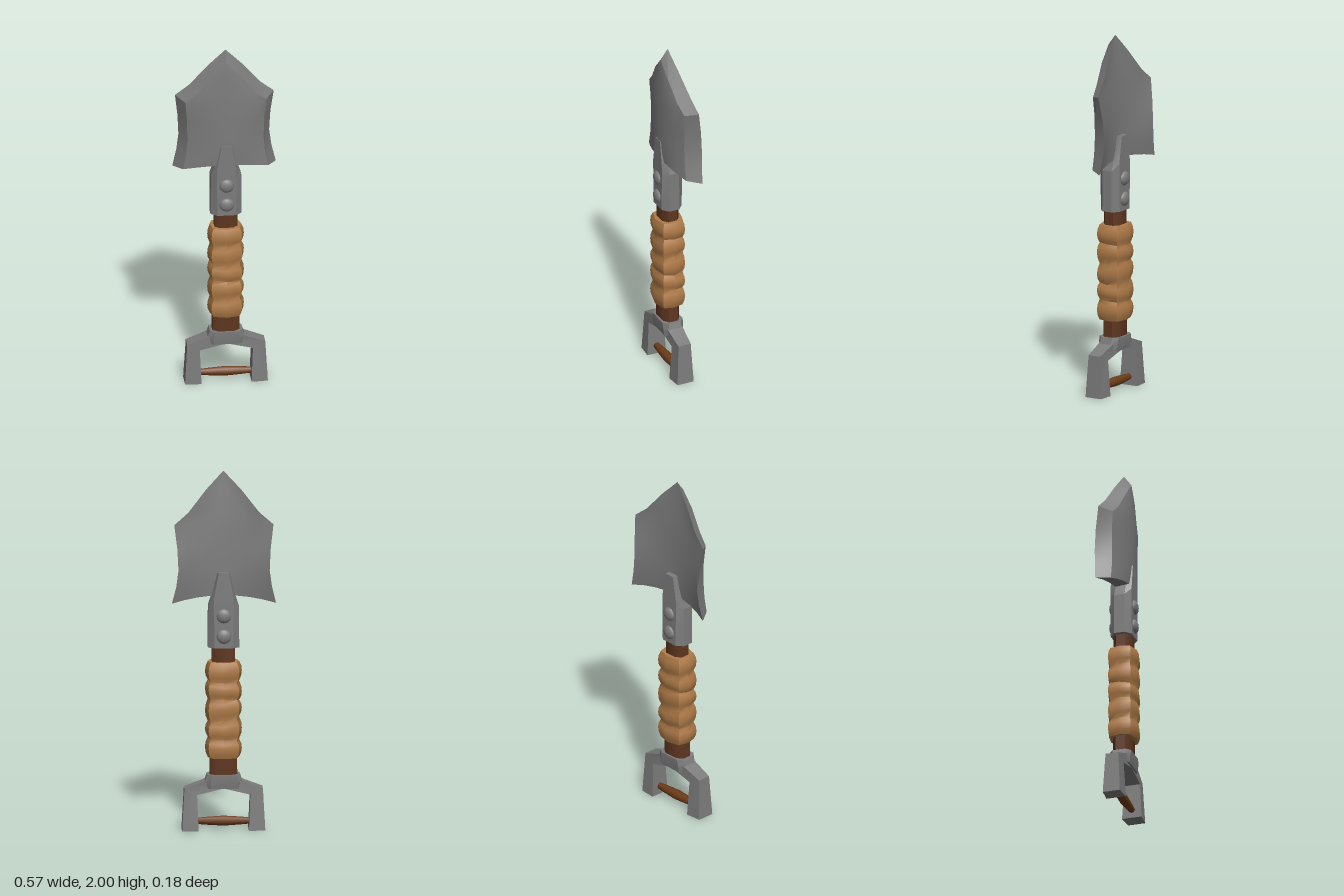
import * as THREE from 'three';
import { toCreasedNormals } from 'three/addons/utils/BufferGeometryUtils.js';

const material = (name, color) => {
  const m = new THREE.MeshStandardMaterial({ color });
  m.name = name;
  return m;
};

// Skins equal, even-sized loops stacked upwards, and closes both ends.
function loft(loops, crease) {
  const n = loops[0].length;
  const index = [];
  for (let r = 0; r < loops.length - 1; r++) {
    for (let j = 0; j < n; j++) {
      const a = r * n + j, b = r * n + (j + 1) % n;
      index.push(a, b, b + n, a, b + n, a + n);
    }
  }
  const top = (loops.length - 1) * n;
  for (let i = 0; i < n / 2 - 1; i++) {
    const a = i, b = i + 1, c = n - 2 - i, d = n - 1 - i;
    index.push(a, c, b, a, d, c);
    index.push(top + a, top + b, top + c, top + a, top + c, top + d);
  }
  const geo = new THREE.BufferGeometry();
  geo.setAttribute('position', new THREE.Float32BufferAttribute(loops.flat(2), 3));
  geo.setIndex(index);
  return toCreasedNormals(geo, crease);
}

// Mirrors a quarter of corner points [x, z] into a full loop at height y.
function ring(y, quarter) {
  const back = quarter.map(([x, z]) => [x, y, -z]);
  const left = quarter.map(([x, z]) => [-x, y, -z]).reverse();
  const front = quarter.map(([x, z]) => [-x, y, z]);
  const right = quarter.map(([x, z]) => [x, y, z]).reverse();
  return [...back, ...left, ...front, ...right];
}

function bladeGeometry() {
  // Back: y, half width, centre z, edge z; then the same for the front.
  const rows = [
    [1.275, 0.285, -0.025, -0.075, 1.285, 0.235, 0.050, 0.0],
    [1.37, 0.262, -0.03, -0.083, 1.37, 0.217, 0.055, 0.0],
    [1.46, 0.25, -0.03, -0.088, 1.46, 0.21, 0.057, 0.0],
    [1.58, 0.256, -0.028, -0.08, 1.58, 0.212, 0.057, 0.0],
    [1.71, 0.272, -0.025, -0.06, 1.69, 0.222, 0.056, 0.005],
    [1.775, 0.195, -0.02, -0.047, 1.745, 0.16, 0.054, 0.02],
    [1.9, 0.095, -0.01, -0.02, 1.855, 0.08, 0.05, 0.036],
    [2.0, 0, 0, 0, 1.94, 0, 0.043, 0.043],
  ];
  const cols = 8;
  const loops = rows.map((row, r) => {
    const side = ([y, w, zc, ze], dir) => Array.from({ length: cols + 1 }, (_, i) => {
      const u = dir * (i / cols * 2 - 1);
      const lift = r === 0 ? 0.035 * (1 - u * u) : 0;
      return [w * u, y + lift, zc + (ze - zc) * u * u];
    });
    return [...side(row.slice(0, 4), -1), ...side(row.slice(4), 1)];
  });
  return loft(loops, 0.5);
}

function wrapGeometry() {
  const corners = [[0.1, 0], [0.083, 0.065], [0, 0.087], [-0.083, 0.065],
    [-0.1, 0], [-0.083, -0.065], [0, -0.087], [0.083, -0.065]];
  const bulges = 5, steps = 4, loops = [];
  for (let k = 0; k <= bulges * steps; k++) {
    const t = k / (bulges * steps);
    const swell = 0.86 + 0.15 * Math.sin((k % steps) / steps * Math.PI) ** 0.7;
    const tilt = 0.012 * Math.sin(t * Math.PI);
    loops.push(corners.map(([x, z], j) => [
      x * swell,
      0.405 + 0.535 * t + tilt * Math.sin(j * Math.PI / 4 + k / steps * 2.2),
      -z * swell,
    ]));
  }
  return loft(loops, 0.85);
}

function yokeGeometry() {
  const half = [[0.09, 0.285], [0.105, 0.275], [0.215, 0.235], [0.228, 0],
    [0.138, 0], [0.146, 0.2]];
  const outline = [...half, [0, 0.235],
    ...half.map(([x, y]) => [-x, y]).reverse()];
  const geo = new THREE.ExtrudeGeometry(
    new THREE.Shape(outline.map(([x, y]) => new THREE.Vector2(x, y))),
    { depth: 2, bevelEnabled: false });
  geo.translate(0, 0, -1);
  // Legs flare towards the feet and thin towards their outer sides.
  const p = geo.attributes.position;
  for (let i = 0; i < p.count; i++) {
    const x = Math.abs(p.getX(i)), y = p.getY(i);
    const depth = 0.056 - 0.012 * Math.min(y / 0.22, 1) - (x > 0.2 ? 0.007 : 0);
    p.setZ(i, p.getZ(i) * depth);
  }
  return toCreasedNormals(geo, 0.4);
}

export function createModel() {
  const group = new THREE.Group();
  const steel = material('steel', 0x7c7c7c);
  const darkWood = material('dark wood', 0x5e3620);
  const gripWood = material('grip wood', 0x6e3c1a);
  const leather = material('leather', 0xaf7b48);

  const add = (name, geo, mat) => {
    const mesh = new THREE.Mesh(geo, mat);
    mesh.name = name;
    group.add(mesh);
    return mesh;
  };

  add('blade', bladeGeometry(), steel);

  // Chamfered socket tapering to a tongue over the blade
  const socketRows = [
    [1.02, 0.086, 0.05, 0.061], [1.25, 0.084, 0.055, 0.061],
    [1.29, 0.07, 0.055, 0.061], [1.44, 0.034, 0.028, 0.06],
  ];
  add('socket', loft(socketRows.map(([y, outer, inner, z]) =>
    ring(y, [[outer, 0.03], [inner, z]])), 0.3), steel);

  // Domed rivets on both faces
  const dome = new THREE.SphereGeometry(0.041, 12, 5, 0, Math.PI * 2, 0, Math.PI / 2);
  dome.scale(1, 0.55, 1);
  dome.rotateX(Math.PI / 2);
  for (const y of [1.085, 1.2]) {
    for (const side of [1, -1]) {
      const rivet = add('rivet', dome, steel);
      rivet.position.set(0, y, side * 0.059);
      if (side < 0) rivet.rotation.y = Math.PI;
    }
  }

  // Shaft and its leather wrap
  add('shaft', loft([[0.29, 0.076], [0.42, 0.073], [1.04, 0.062]].map(([y, w]) =>
    ring(y, [[w, 0.026], [w * 0.55, 0.05]])), 0.85), darkWood);
  add('leatherWrap', wrapGeometry(), leather);

  // Handle yoke with collar
  add('handleYoke', yokeGeometry(), steel);
  const collarRows = [[0.19, 0.06, 0.042], [0.235, 0.1, 0.054], [0.275, 0.102, 0.06], [0.312, 0.09, 0.061]];
  add('handleCollar', loft(collarRows.slice(1).map(([y, w, z]) =>
    ring(y, [[w, z * 0.6], [w * 0.7, z]])), 0.3), steel);

  // Turned crossbar between the legs
  const profile = [[0.017, -0.15], [0.023, -0.08], [0.028, 0], [0.023, 0.08], [0.017, 0.15]];
  const bar = new THREE.LatheGeometry(profile.map(([r, y]) => new THREE.Vector2(r, y)), 8);
  bar.rotateZ(Math.PI / 2);
  add('crossbarGrip', bar, gripWood).position.y = 0.048;

  return group;
}
